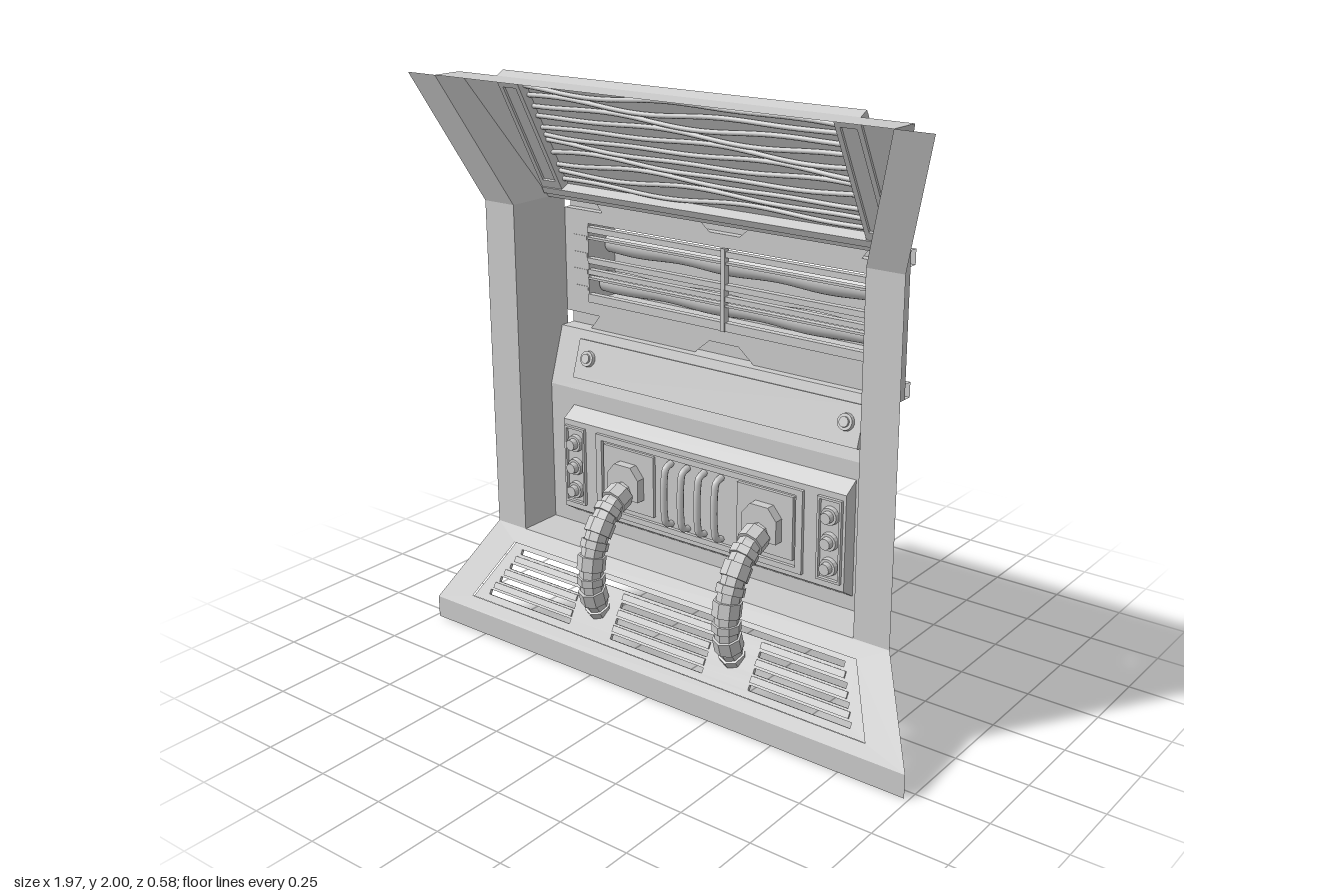
import * as THREE from 'three';

const mat = new THREE.MeshStandardMaterial({ color: 0xcccccc, side: THREE.DoubleSide, flatShading: true });
const smooth = new THREE.MeshStandardMaterial({ color: 0xcccccc, side: THREE.DoubleSide });

export function createModel() {
  const root = new THREE.Group();
  root.name = 'wallConsole';

  // ---- helpers ----
  const add = (name, geo, parent = root, m = mat) => {
    const mesh = new THREE.Mesh(geo, m);
    mesh.name = name;
    parent.add(mesh);
    return mesh;
  };
  const box = (name, x0, x1, y0, y1, z0, z1, parent = root) => {
    const m = add(name, new THREE.BoxGeometry(x1 - x0, y1 - y0, z1 - z0), parent);
    m.position.set((x0 + x1) / 2, (y0 + y1) / 2, (z0 + z1) / 2);
    return m;
  };
  // thin four-cornered sheets
  const sheet = (name, quads, parent = root) => {
    const p = [];
    for (const [a, b, c, d] of quads) p.push(...a, ...b, ...c, ...a, ...c, ...d);
    const g = new THREE.BufferGeometry();
    g.setAttribute('position', new THREE.Float32BufferAttribute(p, 3));
    g.computeVertexNormals();
    return add(name, g, parent);
  };
  const poly = pts => pts.map(([x, y]) => new THREE.Vector2(x, y));
  const rect = (x0, x1, y0, y1) => [[x0, y0], [x1, y0], [x1, y1], [x0, y1]];
  const shape = (pts, holes = []) => {
    const s = new THREE.Shape(poly(pts));
    for (const h of holes) s.holes.push(new THREE.Path(poly(h)));
    return s;
  };
  const frame = (name, outer, inner, z, depth, parent = root) => {
    const m = add(name, new THREE.ExtrudeGeometry(shape(outer, [inner]), { depth, bevelEnabled: false }), parent);
    m.position.z = z;
    return m;
  };
  const slope = (name, y, z, angle) => {
    const g = new THREE.Group();
    g.name = name;
    g.position.set(0, y, z);
    g.rotation.x = angle;
    root.add(g);
    return g;
  };
  const stud = (name, x, y, z, r, len, parent = root) => {
    const m = add(name, new THREE.CylinderGeometry(r * 0.85, r, len, 16), parent);
    m.rotation.x = Math.PI / 2;
    m.position.set(x, y, z);
  };

  // ---- side columns, inner walls and hood fins ----
  for (const s of [-1, 1]) {
    sheet('column', [[[s * .82, .37, .125], [s * .69, .37, .125], [s * .69, 1.55, .125], [s * .82, 1.55, .125]]]);
    const wall = add('innerWall', new THREE.ShapeGeometry(shape([
      [-.125, .37], [.035, .37], [.035, .88], [.1, 1.08], [.13, 1.08], [.13, 1.55], [-.125, 1.55]])));
    wall.rotation.y = Math.PI / 2;
    wall.position.x = s * .69;
    sheet('hoodFin', [
      [[s * .82, 1.55, .125], [s * .69, 1.55, .125], [s * .86, 1.985, .29], [s * .985, 1.985, .29]],
      [[s * .69, 1.55, .125], [s * .69, 1.55, -.05], [s * .86, 1.985, .18], [s * .86, 1.985, .29]]]);
  }

  // ---- hood: sloped frame, back plate and wavy cables ----
  sheet('hoodTop', [[[-.86, 1.985, .29], [.86, 1.985, .29], [.86, 1.985, .18], [-.86, 1.985, .18]]]);
  const hood = slope('hood', 1.55, -.05, Math.atan2(.23, .435));
  add('hoodSheet', new THREE.ShapeGeometry(shape([[-.69, 0], [.69, 0], [.86, .492], [-.86, .492]],
    [rect(-.6, .6, .05, .475)])), hood);
  box('hoodBackPlate', -.6, .6, .03, .485, -.034, -.026, hood);
  box('hoodTopRail', -.69, .69, .475, .492, -.035, .004, hood);
  box('hoodBottomRail', -.69, .69, .025, .05, -.035, .012, hood);
  for (const s of [-1, 1]) {
    const x = s * .645;
    frame('hoodBracket', rect(x - .045, x + .045, .04, .48), rect(x - .028, x + .028, .08, .455), -.036, .044, hood);
  }
  for (let i = 0; i < 11; i++) {
    const pts = [];
    for (let k = 0; k <= 14; k++) {
      const x = -.6 + k * 1.2 / 14;
      pts.push(new THREE.Vector3(x, .075 + i * .037 + .009 * Math.sin(x * 6 + i * 1.3) + .006 * Math.sin(x * 11 + i * 2.1), -.018));
    }
    add('wavyCable', new THREE.TubeGeometry(new THREE.CatmullRomCurve3(pts), 50, .008, 6), hood, smooth);
  }

  // ---- vent wall with notched edges and the channels behind them ----
  const half = [[.06, 1.13], [.12, 1.08], [.58, 1.08], [.54, 1.13], [.69, 1.13],
    [.69, 1.5], [.52, 1.5], [.56, 1.55], [.12, 1.55], [.06, 1.5]];
  const outline = [...half, ...half.map(([x, y]) => [-x, y]).reverse()];
  add('ventWall', new THREE.ShapeGeometry(shape(outline, [rect(-.585, .585, 1.175, 1.455)]))).position.z = -.13;
  const strip = (y0, z0, y1, z1, w = .69) => [[-w, y0, z0], [w, y0, z0], [w, y1, z1], [-w, y1, z1]];
  sheet('channels', [strip(1.08, -.1, 1.08, -.16), strip(1.08, -.16, 1.13, -.16), strip(1.13, -.16, 1.13, -.13),
    strip(1.5, -.13, 1.5, -.16), strip(1.5, -.16, 1.55, -.16), strip(1.55, -.16, 1.55, -.05)]);

  // ---- vent box, grille bars and the rollers inside ----
  const W = .585;
  sheet('ventBox', [strip(1.175, -.13, 1.175, -.27, W), strip(1.455, -.13, 1.455, -.27, W),
    strip(1.175, -.27, 1.33, -.27, W), strip(1.415, -.27, 1.455, -.27, W),
    ...[-W, W].map(x => [[x, 1.175, -.13], [x, 1.455, -.13], [x, 1.455, -.27], [x, 1.175, -.27]])]);
  for (const [y, h] of [[1.435, .02], [1.405, .008], [1.325, .02], [1.285, .018], [1.262, .008], [1.19, .03]])
    box('ventBar', -W, W, y - h / 2, y + h / 2, -.15, -.125);
  box('ventPost', -.008, .008, 1.175, 1.455, -.145, -.12);
  for (const [y, z, r] of [[1.37, -.248, .038], [1.235, -.215, .036]]) {
    const prof = [];
    for (let k = 0; k <= 48; k++) {
      const x = -.58 + k * 1.16 / 48;
      prof.push(new THREE.Vector2(r + .004 * Math.sin(x * 16 + y * 5), x));
    }
    const roller = add('roller', new THREE.LatheGeometry(prof, 24), root, smooth);
    roller.rotation.z = Math.PI / 2;
    roller.position.set(0, y, z);
  }
  for (const s of [-1, 1]) {
    box('rearSlot', s * .45 - .05, s * .45 + .05, 1.23, 1.243, -.275, -.268);
    stud('rearBolt', s * .41, 1.236, -.271, .016, .01);
    stud('rearRivet', s * .13, 1.236, -.271, .009, .01);
    for (let i = 0; i < 4; i++) box('sideClip', s * .62 - .03, s * .62 + .03, 1.215 + i * .06, 1.23 + i * .06, -.138, -.128);
  }

  // ---- sloped middle panel with bolted plate ----
  sheet('middlePanel', [strip(.88, -.035, 1.08, -.1)]);
  const mid = slope('boltedPlate', .88, -.035, -Math.atan2(.065, .2));
  box('plate', -.585, .585, .04, .178, -.006, .016, mid);
  for (const s of [-1, 1]) for (const [r, l] of [[.032, .03], [.02, .045]]) {
    stud('bolt', s * .53, .115, .014, r, l, mid);
  }

  // ---- lower wall with raised console ----
  const lower = add('lowerWall', new THREE.ShapeGeometry(shape(rect(-.69, .69, .37, .88), [rect(-.585, .585, .42, .82)])));
  lower.position.z = -.035;
  sheet('lowerLedge', [strip(.37, -.035, .37, .125)]);
  const F = .02;
  sheet('console', [strip(.42, -.035, .455, F, W), strip(.455, F, .785, F, W), strip(.785, F, .82, -.035, W),
    ...[-W, W].map(x => [[x, .42, -.035], [x, .455, F], [x, .785, F], [x, .82, -.035]])]);
  frame('consoleFrame', rect(-.43, .43, .475, .765), rect(-.405, .405, .495, .745), F - .008, .02);
  for (let i = 0; i < 4; i++) {
    const x = -.105 + i * .07;
    const path = new THREE.CatmullRomCurve3([[.51, F], [.52, F + .03], [.56, F + .04], [.68, F + .04], [.72, F + .03], [.73, F]]
      .map(([y, z]) => new THREE.Vector3(x, y, z)));
    add('handle', new THREE.TubeGeometry(path, 24, .012, 8), root, smooth);
  }
  for (const s of [-1, 1]) {
    const x = s * .53;
    frame('knobFrame', rect(x - .045, x + .045, .48, .765), rect(x - .037, x + .037, .488, .757), F - .012, .024);
    for (const y of [.705, .617, .53]) {
      stud('knobBase', x, y, F, .034, .03);
      stud('knob', x, y, F + .015, .022, .04);
    }
  }

  // ---- hoses with sockets ----
  for (const x of [-.285, .285]) {
    box('socketPlate', x - .11, x + .11, .515, .735, F - .02, F + .012);
    const arch = add('socketArch', new THREE.ExtrudeGeometry(shape([[-.068, .57], [.068, .57], [.068, .65],
      [.035, .69], [-.035, .69], [-.068, .65]]), { depth: .075, bevelEnabled: false }));
    arch.position.set(x, 0, F - .03);
    const curve = new THREE.CatmullRomCurve3([[.6, F], [.578, .1], [.51, .18], [.41, .228], [.32, .234], [.255, .22], [.2, .185]]
      .map(([y, z]) => new THREE.Vector3(x, y, z)));
    add('hose', new THREE.TubeGeometry(curve, 10, .041, 8));
    for (let i = 0; i < 8; i++) {
      const t = .14 + i * .117;
      const collar = add('hoseCollar', new THREE.CylinderGeometry(.049, .049, i % 2 ? .028 : .05, 8));
      collar.position.copy(curve.getPointAt(t));
      collar.quaternion.setFromUnitVectors(new THREE.Vector3(0, 1, 0), curve.getTangentAt(t));
    }
  }

  // ---- sloped tray with slotted grille and front lip ----
  const tray = slope('tray', .08, .29, -Math.atan2(.165, .29));
  const opening = [[-.83, .046], [.83, .046], [.72, .276], [-.72, .276]];
  add('traySheet', new THREE.ShapeGeometry(shape([[-.985, 0], [.985, 0], [.82, .334], [-.82, .334]], [opening])), tray);
  const spans = y => {
    const w = .78 - .11 * (y - .046) / .23;
    return y > .23 ? [[-w, w]] : [[-w, -.38], [-.195, .195], [.38, w]];
  };
  const slots = [];
  for (const y of [.25, .19, .135, .08]) for (const [a, b] of spans(y)) slots.push(rect(a, b, y - .009, y + .009));
  const grille = add('grille', new THREE.ExtrudeGeometry(shape(opening, slots), { depth: .012, bevelEnabled: false }), tray);
  grille.position.z = -.02;
  for (const y of [.22, .163, .108]) for (const [a, b] of spans(y)) box('grilleRib', a, b, y - .011, y + .011, -.03, -.002, tray);
  sheet('trayLip', [strip(0, .29, .08, .29, .985)]);

  return root;
}
